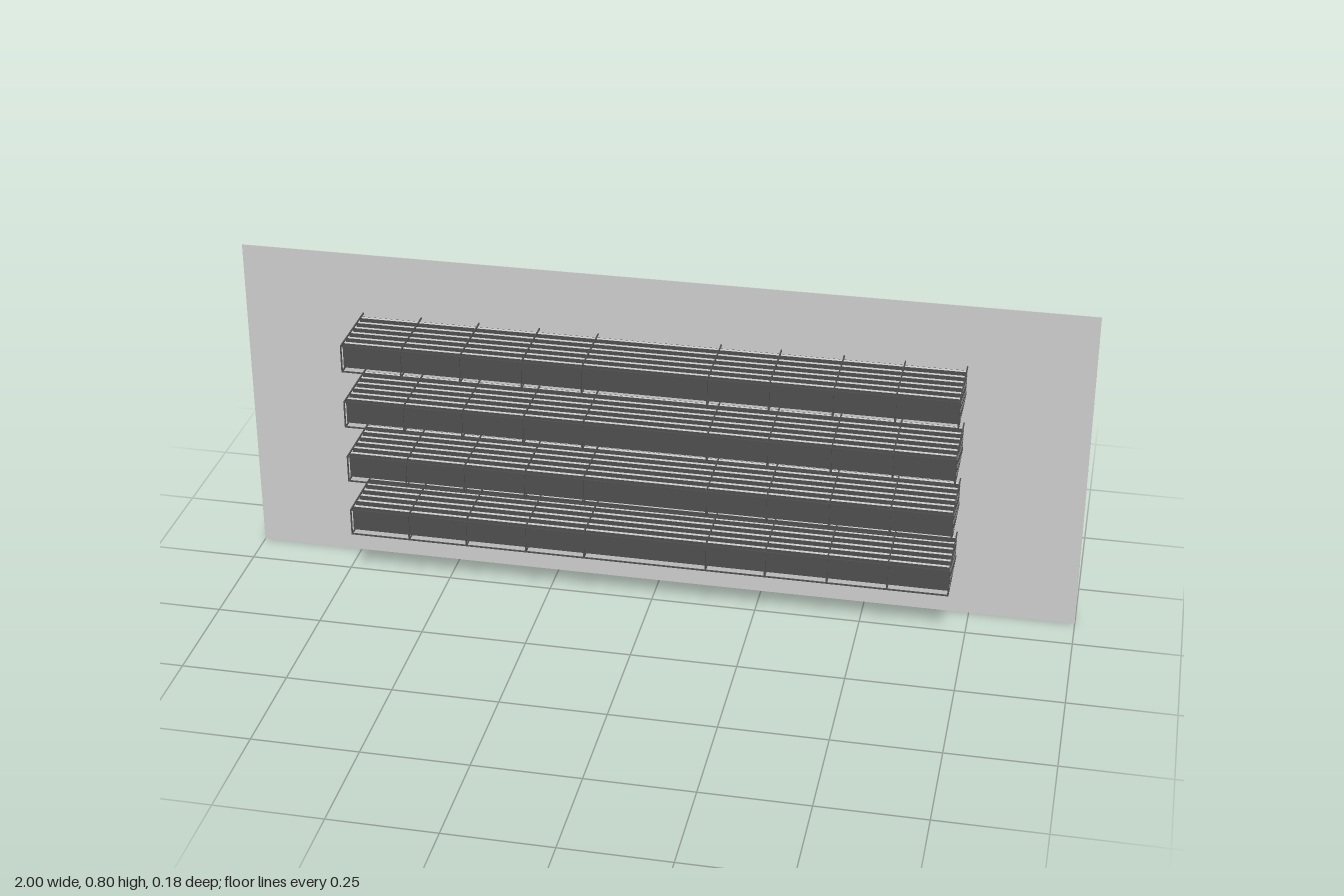
import * as THREE from 'three';

export function createModel() {
  const model = new THREE.Group();
  const grey = new THREE.MeshStandardMaterial({ color: 0xcccccc });
  const dark = new THREE.MeshStandardMaterial({ color: 0x4d4d4d });

  const box = (parent, name, w, h, d, x, y, z, material = dark) => {
    const mesh = new THREE.Mesh(new THREE.BoxGeometry(w, h, d), material);
    mesh.name = name;
    mesh.position.set(x, y, z);
    parent.add(mesh);
  };

  const back = -0.092, front = 0.092, depth = front - back;
  const wire = 0.003, rackHeight = 0.068, rackWidth = 1.425;

  // Thin wall panel
  box(model, 'wallPanel', 2, 0.8, 0.002, 0, 0.4, back + 0.001, grey);

  // One rack: upright slats held in thin wire brackets
  function makeRack() {
    const rack = new THREE.Group();
    rack.name = 'rack';
    const edge = (rackHeight - wire) / 2;

    // Slats with pale edges and dark faces
    for (let i = 0; i < 6; i++) {
      const z = 0.067 - i * 0.0272;
      const h = rackHeight - 2 * wire;
      box(rack, 'slatCore', rackWidth, h, 0.008, 0, 0, z, grey);
      for (const s of [-1, 1]) box(rack, 'slatFace', rackWidth, h, 0.001, 0, 0, z + s * 0.0045);
    }

    // Brackets: top and bottom arms with a front upright
    for (const bx of [0.145, 0.285, 0.43, 0.57, 0.711]) {
      for (const side of [-1, 1]) {
        for (const s of [-1, 1]) box(rack, 'bracketArm', wire, wire, depth, side * bx, s * edge, 0);
        box(rack, 'bracketFront', wire, rackHeight, wire, side * bx, 0, front - wire / 2);
      }
    }

    // Long wires joining the bracket fronts
    for (const s of [-1, 1]) box(rack, 'frontRail', rackWidth, wire, wire, 0, s * edge, front - wire / 2);
    return rack;
  }

  // Four evenly spaced racks
  for (let i = 0; i < 4; i++) {
    const rack = makeRack();
    rack.position.y = 0.184 + i * 0.1443;
    model.add(rack);
  }
  return model;
}
